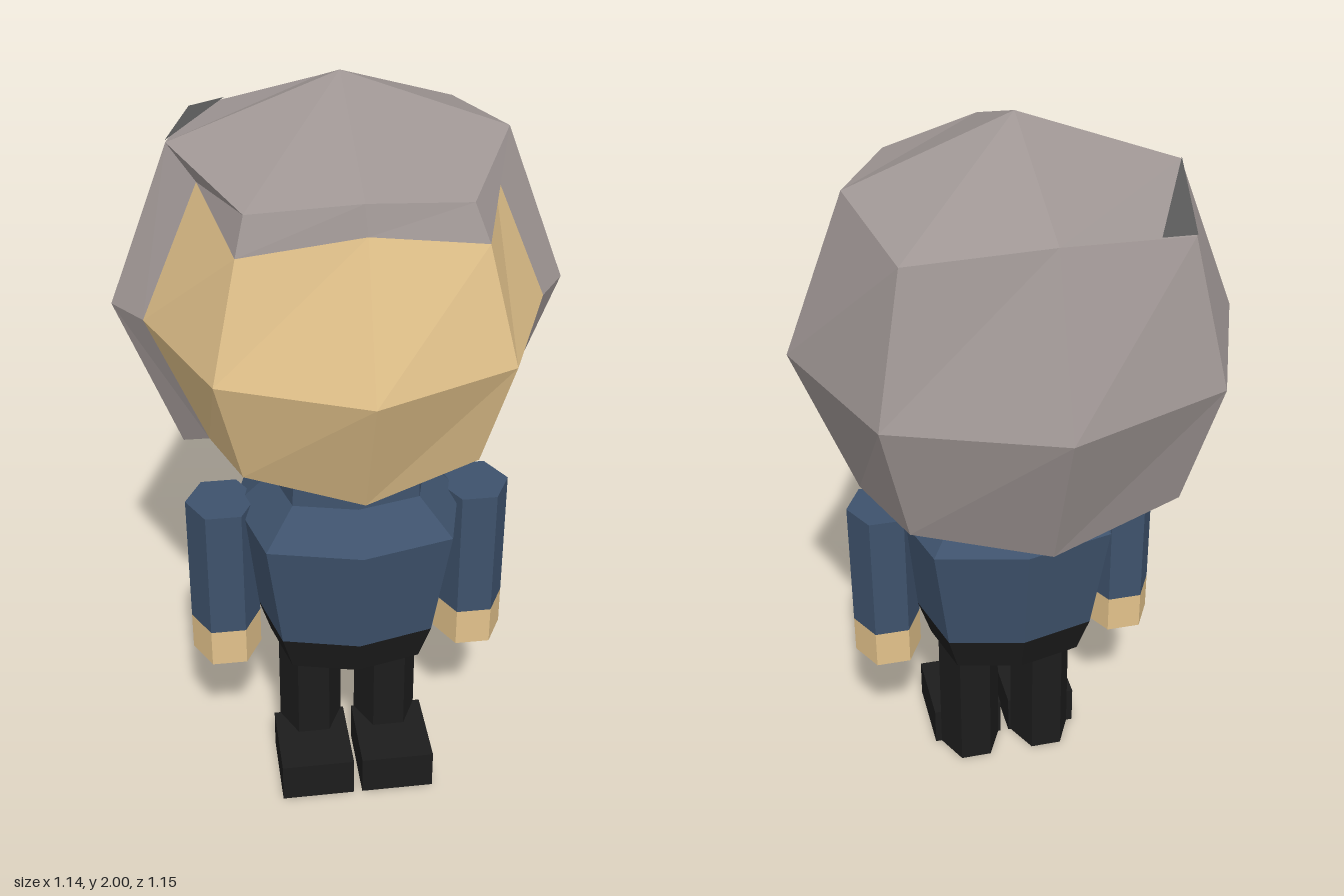
import * as THREE from 'three';

const mat = (name, color, side = THREE.FrontSide) =>
  new THREE.MeshStandardMaterial({ name, color, side, flatShading: true });

export function createModel() {
  const skin = mat('skin', 0xe2c28b);
  const hair = mat('hair', 0xa09795, THREE.DoubleSide);
  const hairMark = mat('hairMark', 0x5a5a5a, THREE.DoubleSide);
  const navy = mat('navyCloth', 0x3e526c);
  const black = mat('blackCloth', 0x1c1c1c);
  const model = new THREE.Group();

  const add = (name, geo, material, x = 0, y = 0, z = 0) => {
    const mesh = new THREE.Mesh(geo, material);
    mesh.name = name;
    mesh.position.set(x, y, z);
    model.add(mesh);
    return mesh;
  };
  const fromPoints = (points) => {
    const g = new THREE.BufferGeometry().setFromPoints(points);
    g.computeVertexNormals();
    return g;
  };

  // Both head shapes are 2x2x2 cubes pushed out to a sphere; v has coordinates -1, 0 or 1
  const headPoint = (v) =>
    v.clone().normalize().multiplyScalar(0.5).add(new THREE.Vector3(0.005, 1.42, 0.08));
  const hairPoint = (v) => {
    const order = Math.abs(v.x) + Math.abs(v.y) + Math.abs(v.z);
    const p = v.clone().multiplyScalar([0, 0.57, 0.413, 0.34][order]);
    if (order === 3 && v.y > 0) p.y = 0.37;
    if (order === 3 && v.z > 0) p.x = 0.26 * v.x;
    p.y += 1.43;
    return p;
  };
  const cubeTriangles = (keep, place) => {
    const pos = new THREE.BoxGeometry(2, 2, 2, 2, 2, 2).toNonIndexed().attributes.position;
    const out = [];
    for (let i = 0; i < pos.count; i += 3) {
      const t = [0, 1, 2].map((k) => new THREE.Vector3().fromBufferAttribute(pos, i + k).round());
      const c = t[0].clone().add(t[1]).add(t[2]).divideScalar(3);
      if (keep(c)) out.push(...t.map(place));
    }
    return fromPoints(out);
  };
  add('head', cubeTriangles(() => true, headPoint), skin);

  // Hair shell: open at the face and below
  const covered = (c) => c.z < 0.99 && c.y > -0.99 && !(Math.abs(c.x) > 0.99 && c.z > 0);
  add('hairShell', cubeTriangles(covered, hairPoint), hair);

  // Rim joining the hair edge to the head
  const half = [[0, 1, 1], [1, 1, 1], [1, 1, 0], [1, 0, 0], [1, -1, 0], [1, -1, -1], [0, -1, -1]]
    .map((a) => new THREE.Vector3(...a));
  const mirrored = half.slice(1, -1).reverse().map((v) => new THREE.Vector3(-v.x, v.y, v.z));
  const loop = [...half, ...mirrored];
  const rim = [];
  loop.forEach((v, i) => {
    const w = loop[(i + 1) % loop.length];
    const [a, b, ia, ib] = [hairPoint(v), hairPoint(w), headPoint(v), headPoint(w)];
    rim.push(a, ia, b, b, ia, ib);
  });
  add('hairRim', fromPoints(rim), hair);

  // Dark sliver on the crown
  const corner = hairPoint(new THREE.Vector3(-1, 1, -1));
  const side = hairPoint(new THREE.Vector3(-1, 1, 0));
  const back = hairPoint(new THREE.Vector3(0, 1, -1));
  add('hairMark', fromPoints([corner, side, corner.clone().lerp(back, 0.27)]), hairMark, -0.002, 0.004, -0.001);

  // Eight-sided body, built from rings of [half width, height]
  const bodyPart = (rings) => {
    const g = new THREE.LatheGeometry(rings.map((r) => new THREE.Vector2(...r)), 8);
    const p = g.attributes.position;
    for (let i = 0; i < p.count; i++) {
      const diagonal = Math.abs(p.getX(i)) > 1e-4 && Math.abs(p.getZ(i)) > 1e-4;
      const k = diagonal ? 1.13 : 1;
      p.setXYZ(i, p.getX(i) * k, p.getY(i), p.getZ(i) * k * 0.97);
    }
    return g;
  };
  add('sweater', bodyPart([[0.25, 0.54], [0.3, 0.86], [0.205, 0.95], [0.2, 1.04], [0, 1.04]]), navy, 0.01, 0, 0.085);
  add('trouserTop', bodyPart([[0, 0.405], [0.13, 0.405], [0.215, 0.43], [0.25, 0.54]]), black, 0.01, 0, 0.085);

  // Limbs: six-sided prisms between two heights
  const prism = (name, material, x, z, y0, y1, r) => {
    const g = new THREE.CylinderGeometry(r, r, y1 - y0, 6);
    g.rotateY(Math.PI / 6);
    return add(name, g, material, x, (y0 + y1) / 2, z);
  };
  for (const [label, s] of [['left', 1], ['right', -1]]) {
    prism(label + 'Sleeve', navy, 0.01 + s * 0.338, 0.095, 0.51, 0.885, 0.094);
    prism(label + 'Hand', skin, 0.01 + s * 0.338, 0.095, 0.4, 0.51, 0.094);
    prism(label + 'Leg', black, 0.01 + s * 0.107, 0.085, 0, 0.44, 0.092)
      .geometry.scale(0.95, 1, 1.12);
    add(label + 'Shoe', new THREE.BoxGeometry(0.2, 0.115, 0.23), black, 0.01 + s * 0.112, 0.0575, 0.2);
  }
  // Prism vertices should point sideways
  model.children.forEach((m) => {
    if (/Sleeve|Hand/.test(m.name)) m.geometry.scale(1, 1, 1.08);
  });
  return model;
}
